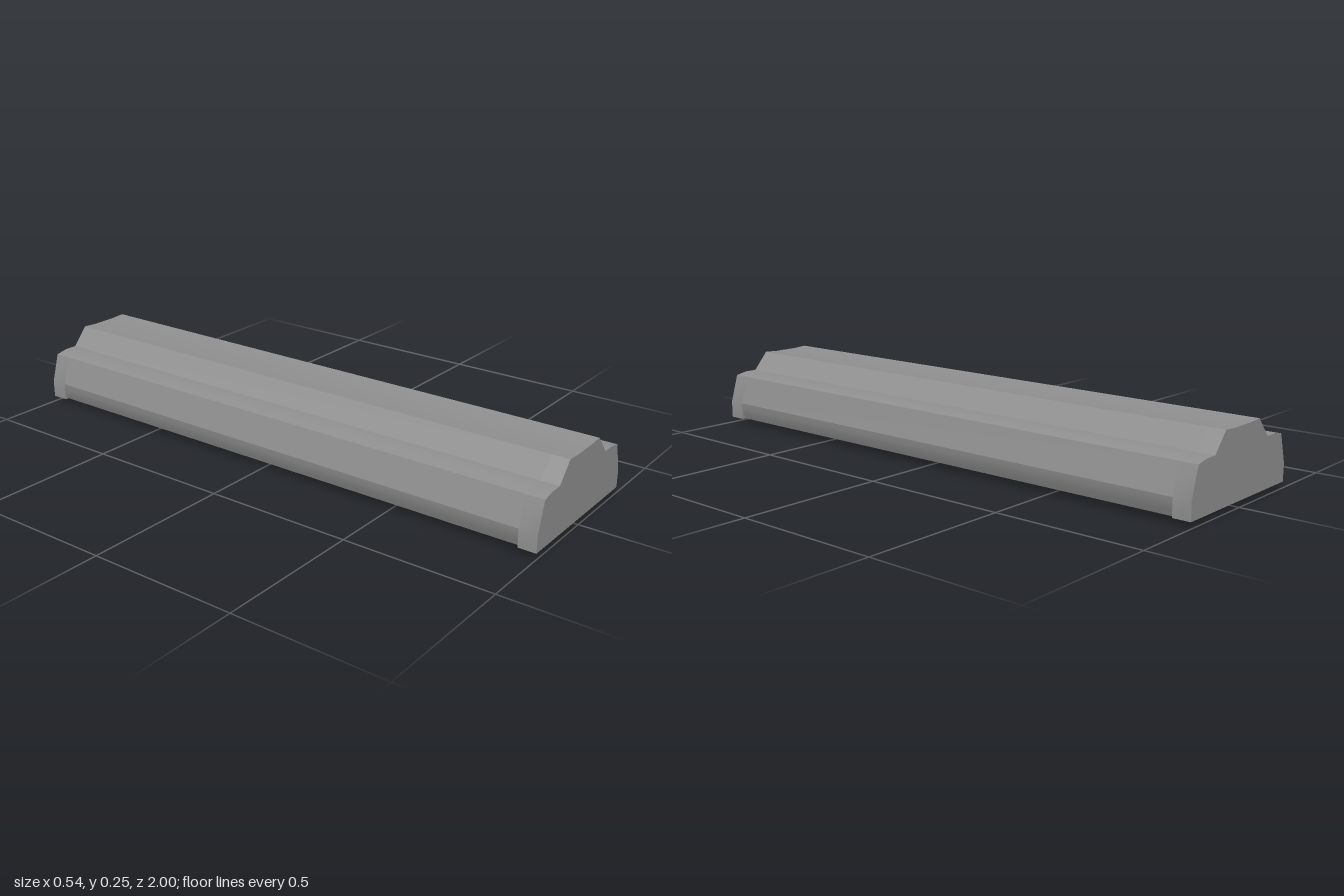
import * as THREE from 'three';
import { toCreasedNormals } from 'three/addons/utils/BufferGeometryUtils.js';

// Upper half-profile, from the crown centre out to the side (x >= 0)
const upper = [
  [0, 0.245], [0.045, 0.245], [0.097, 0.248],
  [0.152, 0.185], [0.198, 0.185], [0.24, 0.177], [0.269, 0.08],
];

// Lower half-profile: curved lip, rim, recess, centre ridge
const lower = [
  [0.267, 0.06], [0.262, 0.04], [0.255, 0.02], [0.225, 0.012],
  [0.205, 0.017], [0.195, 0.022], [0.178, 0.041], [0.055, 0.041], [0.015, 0],
];

// Extrudes a closed outline between two z positions
function extrude(points, z0, z1) {
  const shape = new THREE.Shape(points.map(([x, y]) => new THREE.Vector2(x, y)));
  const geometry = new THREE.ExtrudeGeometry(shape, { depth: z1 - z0, bevelEnabled: false });
  geometry.translate(0, 0, z0);
  return toCreasedNormals(geometry, 0.37);
}

// Completes a half-profile with its mirror image
function mirrored(half) {
  return [...half, ...half.filter(([x]) => x > 0).reverse().map(([x, y]) => [-x, y])];
}

// Bowed lens outline, seated in the recess
function lensOutline(centre) {
  const halfWidth = 0.0615, steps = 12;
  const pts = [[centre - halfWidth, 0.044], [centre + halfWidth, 0.044]];
  for (let i = 0; i <= steps; i++) {
    const t = i / steps;
    pts.push([centre + halfWidth * (1 - 2 * t), 0.04 - Math.sin(t * Math.PI) * 0.012]);
  }
  return pts;
}

export function createModel() {
  const group = new THREE.Group();
  group.name = 'battenLight';
  const grey = new THREE.MeshStandardMaterial({ color: 0x919191 });
  grey.name = 'grey';
  const paleGrey = new THREE.MeshStandardMaterial({ color: 0xcecece });
  paleGrey.name = 'paleGrey';

  const add = (name, geometry, material) => {
    const mesh = new THREE.Mesh(geometry, material);
    mesh.name = name;
    group.add(mesh);
  };

  // Long housing with twin recesses underneath
  add('housing', extrude(mirrored([...upper, ...lower]), -0.94, 0.94), grey);

  // Pale lenses in the recesses
  add('leftLens', extrude(lensOutline(0.1165), -0.94, 0.94), paleGrey);
  add('rightLens', extrude(lensOutline(-0.1165), -0.94, 0.94), paleGrey);

  // Flat-bottomed end caps
  const cap = mirrored([...upper, [0.269, 0.02]]);
  add('frontEndCap', extrude(cap, 0.94, 1), grey);
  add('backEndCap', extrude(cap, -1, -0.94), grey);
  return group;
}
